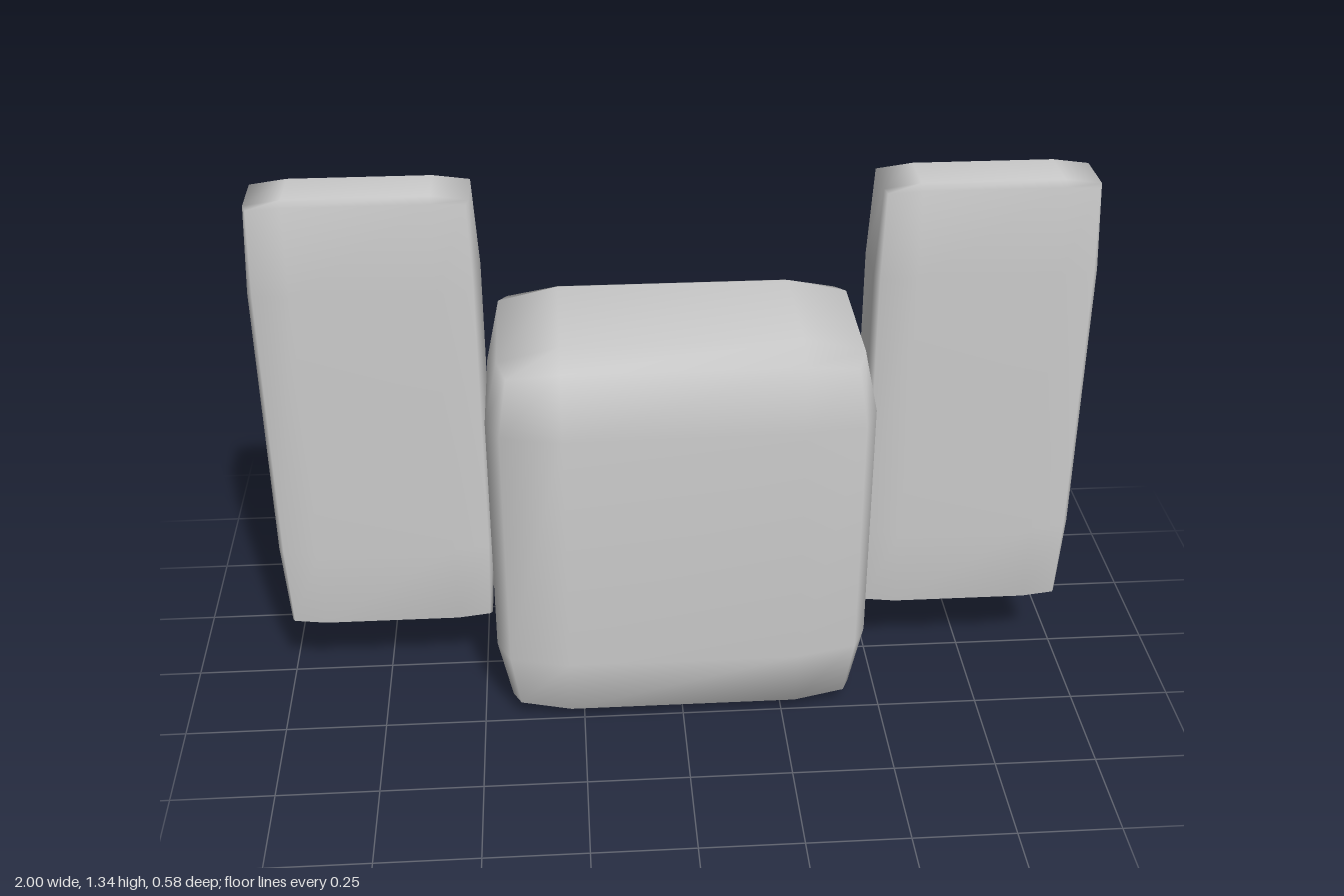
import * as THREE from 'three';
import { mergeVertices } from 'three/addons/utils/BufferGeometryUtils.js';

// Soft box: a 3x3x3 box whose face, edge and corner points sit on rounder levels.
// Each axis is { mid, half, inner, edge, corner }, all measured from the middle.
function softBox(axes) {
  let geo = new THREE.BoxGeometry(2, 2, 2, 3, 3, 3);
  geo.deleteAttribute('normal');
  geo.deleteAttribute('uv');
  geo = mergeVertices(geo, 1e-4);
  const pos = geo.attributes.position;
  for (let i = 0; i < pos.count; i++) {
    const p = [pos.getX(i), pos.getY(i), pos.getZ(i)];
    const extremes = p.filter((v) => Math.abs(v) > 0.9).length;
    const q = p.map((v, k) => {
      const a = axes[k];
      const reach = Math.abs(v) < 0.9 ? a.inner : [a.half, a.edge, a.corner][extremes - 1];
      return a.mid + Math.sign(v) * reach;
    });
    pos.setXYZ(i, ...q);
  }
  geo.computeVertexNormals();
  return geo;
}

// One axis from its two ends, the flat inset, the edge inset and the corner inset
function axis(min, max, inset, edgeInset, cornerInset) {
  const half = (max - min) / 2;
  return {
    mid: (min + max) / 2, half, inner: half - inset,
    edge: half - edgeInset, corner: half - cornerInset,
  };
}

export function createModel() {
  const model = new THREE.Group();
  const grey = new THREE.MeshStandardMaterial({ color: 0xcccccc });
  grey.name = 'plain grey';

  const add = (name, x, y, z) => {
    const mesh = new THREE.Mesh(softBox([x, y, z]), grey);
    mesh.name = name;
    model.add(mesh);
  };

  // Main rounded body
  add('body',
    axis(-0.463, 0.463, 0.18, 0.034, 0.055),
    axis(0, 1.024, 0.195, 0.034, 0.05),
    axis(-0.243, 0.292, 0.107, 0.034, 0.048));

  // Thin panel on the back, sunk into the body
  add('backPanel',
    axis(-0.243, 0.243, 0.06, 0.008, 0.014),
    axis(0.2, 0.83, 0.11, 0.009, 0.014),
    axis(-0.292, -0.16, 0.025, 0.009, 0.013));

  // Tall slabs at both sides
  for (const [name, min, max] of [['leftSlab', 0.464, 1], ['rightSlab', -1, -0.464]]) {
    add(name,
      axis(min, max, 0.1, 0.013, 0.02),
      axis(0.174, 1.343, 0.23, 0.012, 0.018),
      axis(-0.122, 0.07, 0.034, 0.013, 0.018));
  }
  return model;
}
